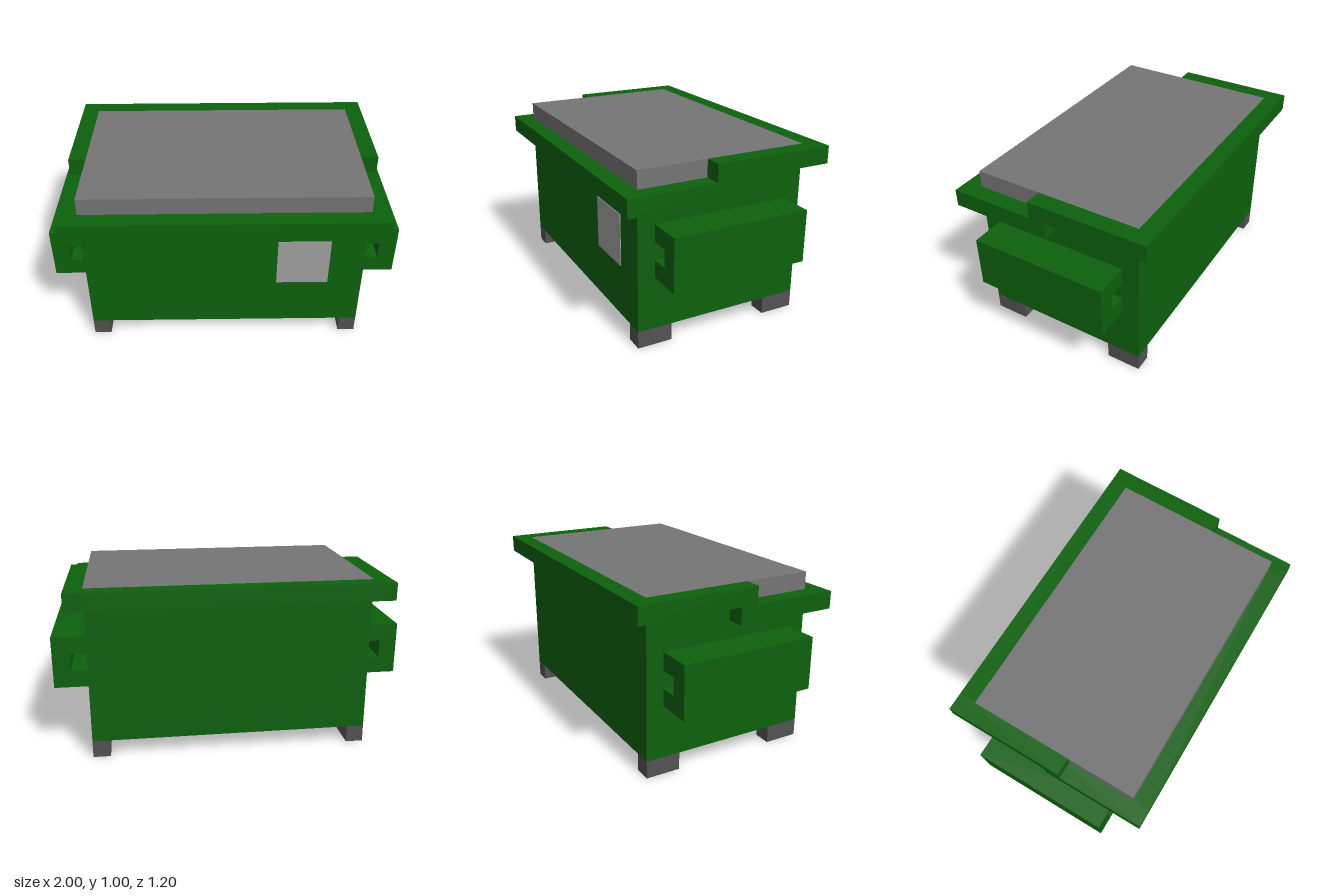
import * as THREE from 'three';

function material(name, color) {
  const m = new THREE.MeshStandardMaterial({ color });
  m.name = name;
  return m;
}

export function createModel() {
  const green = material('green paint', 0x0d610d);
  const lidGrey = material('lid grey', 0x757575);
  const footGrey = material('dark grey', 0x525252);
  const plateGrey = material('light grey', 0xa1a1a1);

  const model = new THREE.Group();
  model.name = 'dumpster';

  // Box given by its extents on each axis
  function box(name, mat, [x0, x1], [y0, y1], [z0, z1]) {
    const mesh = new THREE.Mesh(new THREE.BoxGeometry(x1 - x0, y1 - y0, z1 - z0), mat);
    mesh.position.set((x0 + x1) / 2, (y0 + y1) / 2, (z0 + z1) / 2);
    mesh.name = name;
    model.add(mesh);
  }

  // Bin, lid and front plate
  box('body', green, [-0.8, 0.8], [0.1, 0.9], [-0.5, 0.5]);
  box('lid', lidGrey, [-0.8, 0.8], [0.9, 1], [-0.5, 0.5]);
  box('frontPlate', plateGrey, [0.3, 0.6], [0.4, 0.7], [0.5, 0.504]);

  // Stepped rim: low around the front, high around the back
  box('frontRim', green, [-0.8, 0.8], [0.8, 0.9], [0.5, 0.6]);
  box('backRim', green, [-0.8, 0.8], [0.9, 1], [-0.6, -0.5]);

  // Bracket section with a fork slot open against the body
  const section = (side) => new THREE.Shape(
    [[0.8, 0.4], [1, 0.4], [1, 0.7], [0.8, 0.7], [0.8, 0.6], [0.9, 0.6], [0.9, 0.5], [0.8, 0.5]]
      .map(([x, y]) => new THREE.Vector2(side * x, y)));

  for (const side of [-1, 1]) {
    const label = side > 0 ? 'left' : 'right';
    const span = (a, b) => (side > 0 ? [a, b] : [-b, -a]);
    box(label + 'LowRim', green, span(0.8, 0.9), [0.8, 0.9], [0, 0.6]);
    box(label + 'HighRim', green, span(0.8, 0.9), [0.9, 1], [-0.6, 0.1]);

    const bracket = new THREE.Mesh(
      new THREE.ExtrudeGeometry(section(side), { depth: 0.8, bevelEnabled: false }), green);
    bracket.position.z = -0.4;
    bracket.name = label + 'ForkBracket';
    model.add(bracket);

    // Feet
    box(label + 'FrontFoot', footGrey, span(0.7, 0.8), [0, 0.1], [0.3, 0.5]);
    box(label + 'BackFoot', footGrey, span(0.7, 0.8), [0, 0.1], [-0.5, -0.3]);
  }
  return model;
}
